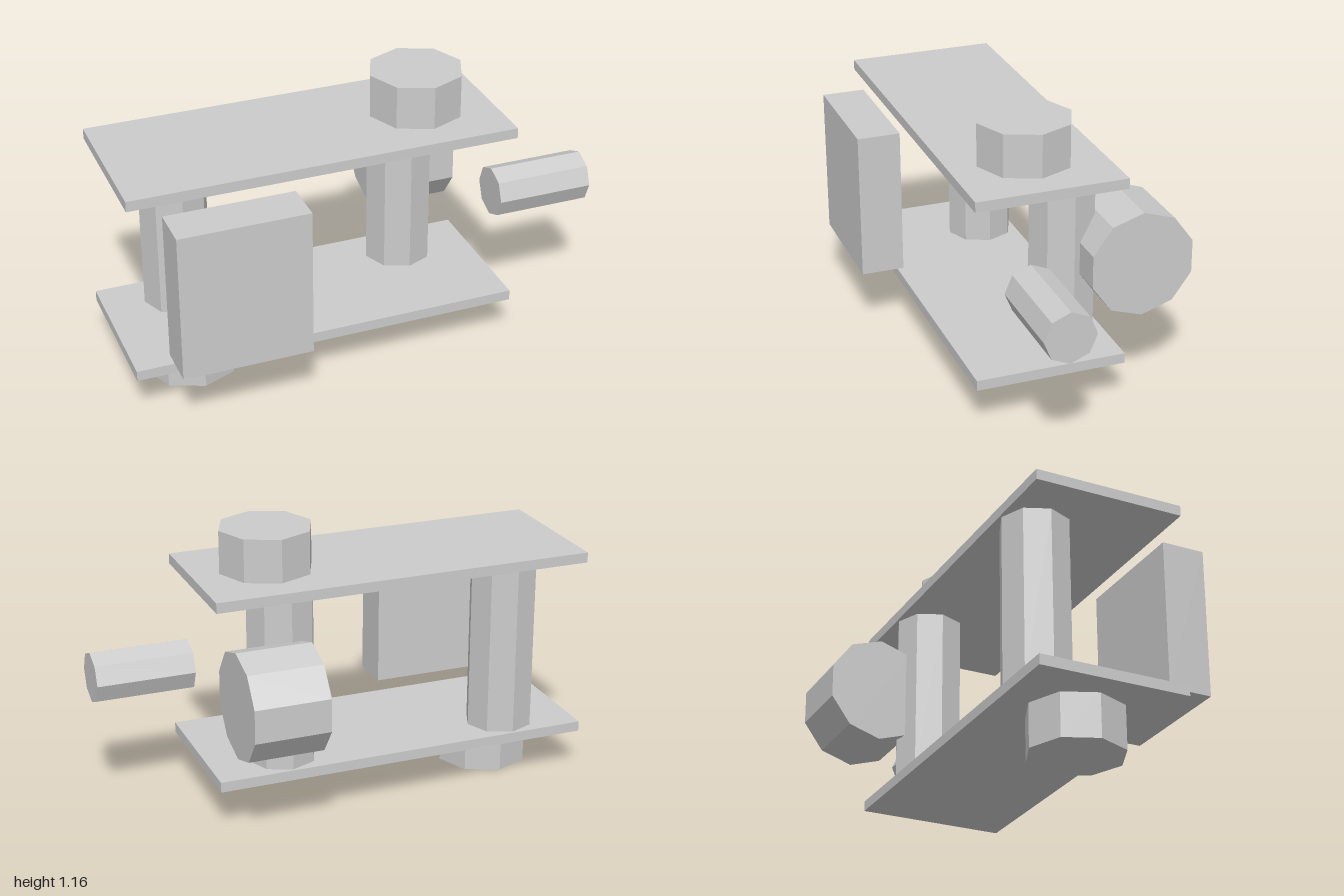
import * as THREE from 'three';

const material = new THREE.MeshStandardMaterial({ color: 0xcccccc, flatShading: true });

export function createModel() {
  const model = new THREE.Group();
  model.name = 'bracketAssembly';

  const add = (name, geometry, x, y, z) => {
    const mesh = new THREE.Mesh(geometry, material);
    mesh.name = name;
    mesh.position.set(x, y, z);
    model.add(mesh);
  };
  // Faceted cylinder with a corner on the +x axis
  const prism = (radius, length, sides) =>
    new THREE.CylinderGeometry(radius, radius, length, sides, 1, false, Math.PI / 2);

  const midY = 0.58;
  const leftX = 0.286;
  const rightX = -0.692;

  // Two flat plates
  const plate = new THREE.BoxGeometry(1.595, 0.043, 0.62);
  add('bottomPlate', plate, -0.2025, 0.2015, 0.06);
  add('topPlate', plate, -0.2025, 0.9585, 0.06);

  // Posts joining the plates
  const post = prism(0.141, 0.714, 8);
  add('leftPost', post, leftX, midY, -0.1);
  add('rightPost', post, rightX, midY, -0.1);

  // Knobs above and below
  const knob = prism(0.195, 0.18, 8);
  add('topKnob', knob, leftX, 1.069, 0.06);
  add('bottomKnob', knob, rightX, 0.09, 0.06);

  // Block on the front edge
  add('frontBlock', new THREE.BoxGeometry(0.528, 0.62, 0.18), -0.601, midY, 0.46);

  // Sideways wheel at the back and rod at the end
  add('rearWheel', prism(0.222, 0.31, 10).rotateZ(Math.PI / 2), 0.396, midY, -0.337);
  add('sideRod', prism(0.106, 0.405, 8).rotateZ(Math.PI / 2), 0.7975, midY, 0.15);

  return model;
}
